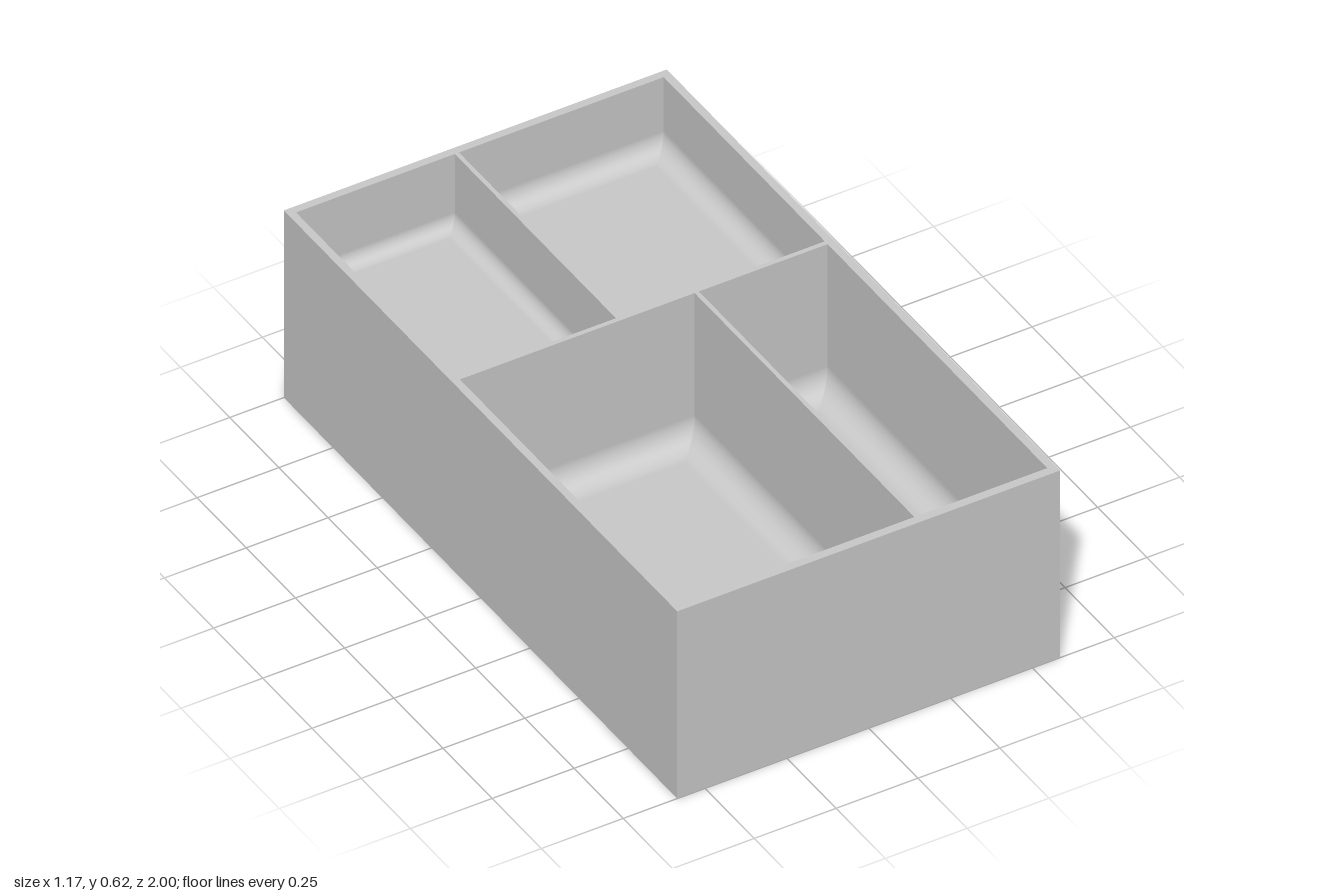
import * as THREE from 'three';
import { mergeGeometries } from 'three/addons/utils/BufferGeometryUtils.js';

const W = 0.585, H = 0.62, D = 1; // half width, height, half depth

// Compartments: extents in x and z, floor height, cove radius
const compartments = [
  { name: 'backRight', x0: -0.562, x1: -0.077, z0: -0.976, z1: -0.157, floor: 0.385, r: 0.042 },
  { name: 'backLeft', x0: -0.064, x1: 0.561, z0: -0.976, z1: -0.157, floor: 0.385, r: 0.057 },
  { name: 'frontRight', x0: -0.562, x1: 0.155, z0: -0.143, z1: 0.974, floor: 0.14, r: 0.076 },
  { name: 'frontLeft', x0: 0.168, x1: 0.561, z0: -0.143, z1: 0.974, floor: 0.14, r: 0.076 },
];

// One inner wall facing +z with a cove at its foot; both ends are mitred.
function covedWall(length, floor, r) {
  const steps = 12, pos = [], nor = [], idx = [];
  const row = (inset, y, ny, nz) => {
    pos.push(-length / 2 + inset, y, inset, length / 2 - inset, y, inset);
    nor.push(0, ny, nz, 0, ny, nz);
  };
  row(0, H, 0, 1);
  for (let i = 0; i <= steps; i++) {
    const a = (i / steps) * Math.PI / 2;
    row(r * (1 - Math.cos(a)), floor + r * (1 - Math.sin(a)), Math.sin(a), Math.cos(a));
  }
  for (let i = 0; i <= steps; i++) {
    const a = i * 2;
    idx.push(a, a + 2, a + 1, a + 1, a + 2, a + 3);
  }
  const g = new THREE.BufferGeometry();
  g.setAttribute('position', new THREE.Float32BufferAttribute(pos, 3));
  g.setAttribute('normal', new THREE.Float32BufferAttribute(nor, 3));
  g.setIndex(idx);
  return g;
}

// Four coved walls and a flat floor
function compartmentGeometry({ x0, x1, z0, z1, floor, r }) {
  const w = x1 - x0, d = z1 - z0, cx = (x0 + x1) / 2, cz = (z0 + z1) / 2;
  const parts = [];
  for (let i = 0; i < 4; i++) {
    const [length, reach] = i % 2 ? [d, w] : [w, d];
    parts.push(covedWall(length, floor, r).translate(0, 0, -reach / 2).rotateY(i * Math.PI / 2));
  }
  const base = new THREE.PlaneGeometry(w - 2 * r, d - 2 * r).rotateX(-Math.PI / 2).translate(0, floor, 0);
  base.deleteAttribute('uv');
  parts.push(base);
  return mergeGeometries(parts).translate(cx, 0, cz);
}

function rectangle(path, x0, x1, y0, y1) {
  path.moveTo(x0, y0).lineTo(x1, y0).lineTo(x1, y1).lineTo(x0, y1).closePath();
  return path;
}

export function createModel() {
  const group = new THREE.Group();
  group.name = 'dividedTray';
  const grey = new THREE.MeshStandardMaterial({ color: 0xcacaca });
  grey.name = 'grey';
  const add = (name, geometry) => {
    const mesh = new THREE.Mesh(geometry, grey);
    mesh.name = name;
    group.add(mesh);
  };

  // Outer sides and underside: a box without its top face
  const shell = new THREE.BoxGeometry(2 * W, H, 2 * D).translate(0, H / 2, 0);
  const index = Array.from(shell.index.array);
  index.splice(12, 6);
  shell.setIndex(index);
  shell.clearGroups();
  add('outerShell', shell);

  // Flat top edge of the walls and dividers
  const rim = rectangle(new THREE.Shape(), -W, W, -D, D);
  for (const c of compartments) {
    rim.holes.push(rectangle(new THREE.Path(), c.x0, c.x1, -c.z1, -c.z0));
  }
  add('rimAndDividers', new THREE.ShapeGeometry(rim).rotateX(-Math.PI / 2).translate(0, H, 0));

  // Inside of each compartment
  for (const c of compartments) add(c.name + 'Compartment', compartmentGeometry(c));

  return group;
}
